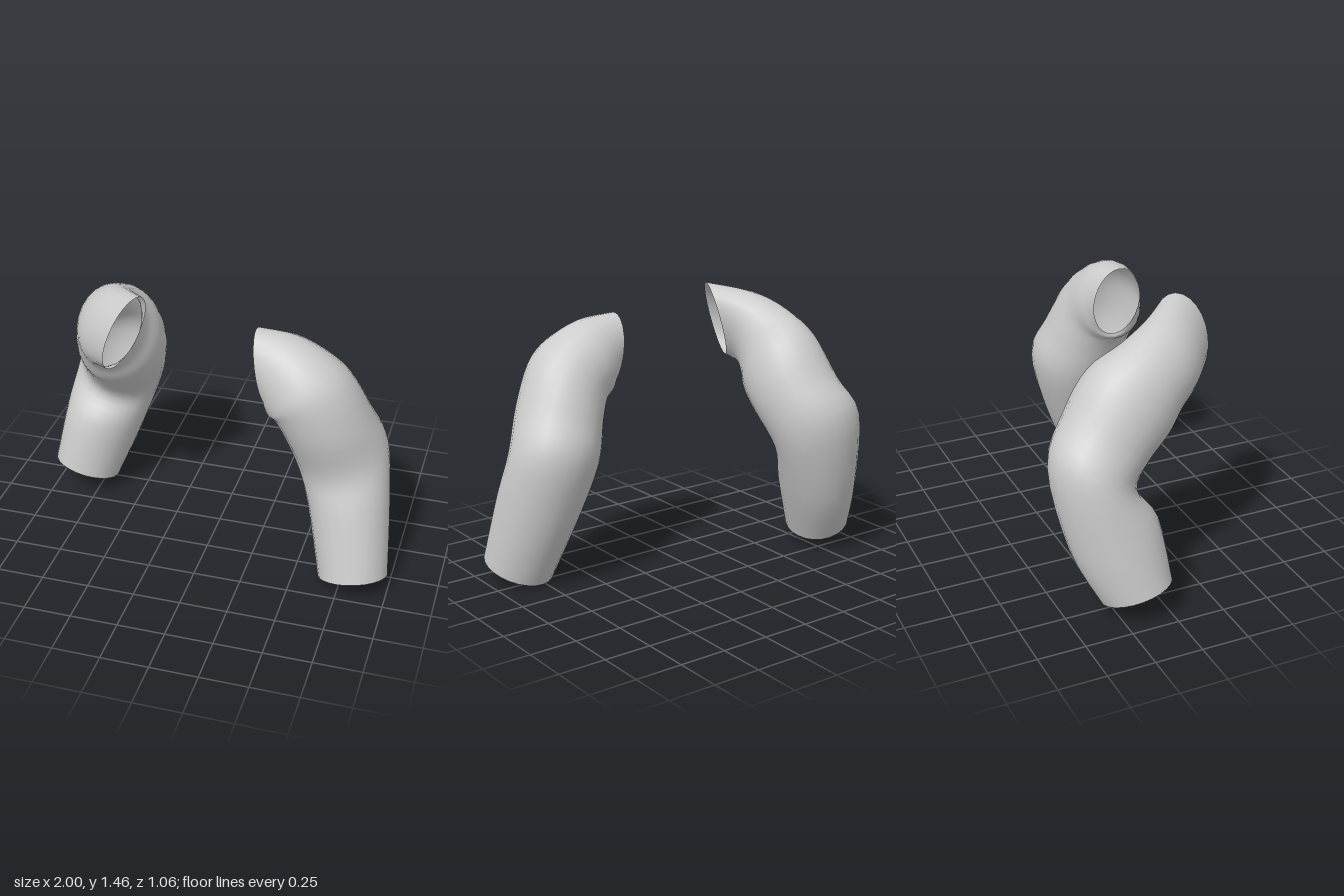
import * as THREE from 'three';

const AROUND = 24, STEPS = 4;

// Catmull-Rom blend of four numbers
function blend(p0, p1, p2, p3, t) {
  const m1 = (p2 - p0) / 2, m2 = (p3 - p1) / 2, t2 = t * t, t3 = t2 * t;
  return (2 * t3 - 3 * t2 + 1) * p1 + (t3 - 2 * t2 + t) * m1 + (3 * t2 - 2 * t3) * p2 + (t3 - t2) * m2;
}

// Open tube through elliptical rings; each ring is [centre, outer half-axis, front half-axis]
function sleeveGeometry(rings, mirrored) {
  const flat = rings.map((r) => r.flat());
  const at = (i) => flat[Math.min(Math.max(i, 0), flat.length - 1)];
  const rows = (flat.length - 1) * STEPS;
  const pos = [], index = [];
  for (let r = 0; r <= rows; r++) {
    const i = Math.min(Math.floor(r / STEPS), flat.length - 2);
    const t = r / STEPS - i;
    const s = at(i).map((_, k) => blend(at(i - 1)[k], at(i)[k], at(i + 1)[k], at(i + 2)[k], t));
    for (let j = 0; j < AROUND; j++) {
      const w = (j / AROUND) * Math.PI * 2, c = Math.cos(w), n = Math.sin(w);
      for (let k = 0; k < 3; k++) pos.push(s[k] + s[3 + k] * c + s[6 + k] * n);
    }
  }
  for (let r = 0; r < rows; r++) {
    for (let j = 0; j < AROUND; j++) {
      const a = r * AROUND + j, b = r * AROUND + (j + 1) % AROUND;
      const c = a + AROUND, d = b + AROUND;
      if (mirrored) index.push(a, b, c, b, d, c);
      else index.push(a, c, b, b, c, d);
    }
  }
  const g = new THREE.BufferGeometry();
  g.setAttribute('position', new THREE.Float32BufferAttribute(pos, 3));
  g.setIndex(index);
  g.computeVertexNormals();
  return g;
}

// Rings run from the cuff, past the elbow, to the armhole
const LEFT = [
  [[0.815, 0.065, 0.355], [0.18, 0.03, 0], [0, 0.058, 0.176]],
  [[0.755, 0.42, 0.235], [0.208, 0.04, 0], [0, 0.05, 0.212]],
  [[0.695, 0.68, 0.165], [0.228, 0.06, 0], [0, -0.03, 0.235]],
  [[0.62, 0.89, 0.22], [0.22, 0.06, 0], [0, -0.02, 0.235]],
  [[0.55, 1.035, 0.255], [0.19, 0.12, 0], [0, 0, 0.225]],
  [[0.48, 1.1, 0.268], [0.14, 0.17, 0], [0, 0, 0.21]],
  [[0.385, 1.15, 0.26], [0.065, 0.2, 0], [0, 0, 0.18]],
  [[0.29, 1.17, 0.255], [-0.035, 0.2, 0], [0, 0, 0.135]],
];

const RIGHT = [
  [[-0.825, 0.125, -0.15], [-0.175, 0.05, 0], [0, 0.045, 0.178]],
  [[-0.74, 0.42, -0.235], [-0.208, 0.05, 0], [0, 0.06, 0.222]],
  [[-0.66, 0.71, -0.315], [-0.23, 0.05, 0], [0, -0.09, 0.215]],
  [[-0.6, 0.89, -0.21], [-0.235, 0, 0], [0, -0.14, 0.2]],
  [[-0.585, 1.04, -0.09], [-0.22, 0, 0.03], [0.01, -0.19, 0.18]],
  [[-0.575, 1.14, 0.03], [-0.175, 0, 0.06], [0.02, -0.2, 0.11]],
  [[-0.53, 1.21, 0.15], [-0.13, 0, 0.09], [-0.01, -0.205, 0.05]],
  [[-0.42, 1.25, 0.27], [-0.055, 0, 0.125], [-0.065, -0.207, 0]],
];

export function createModel() {
  const cloth = new THREE.MeshStandardMaterial({ color: 0xcccccc, side: THREE.DoubleSide });
  cloth.name = 'light grey cloth';
  const group = new THREE.Group();
  group.name = 'sleeves';
  for (const [name, rings, mirrored] of [['leftSleeve', LEFT, false], ['rightSleeve', RIGHT, true]]) {
    const mesh = new THREE.Mesh(sleeveGeometry(rings, mirrored), cloth);
    mesh.name = name;
    group.add(mesh);
  }
  return group;
}
